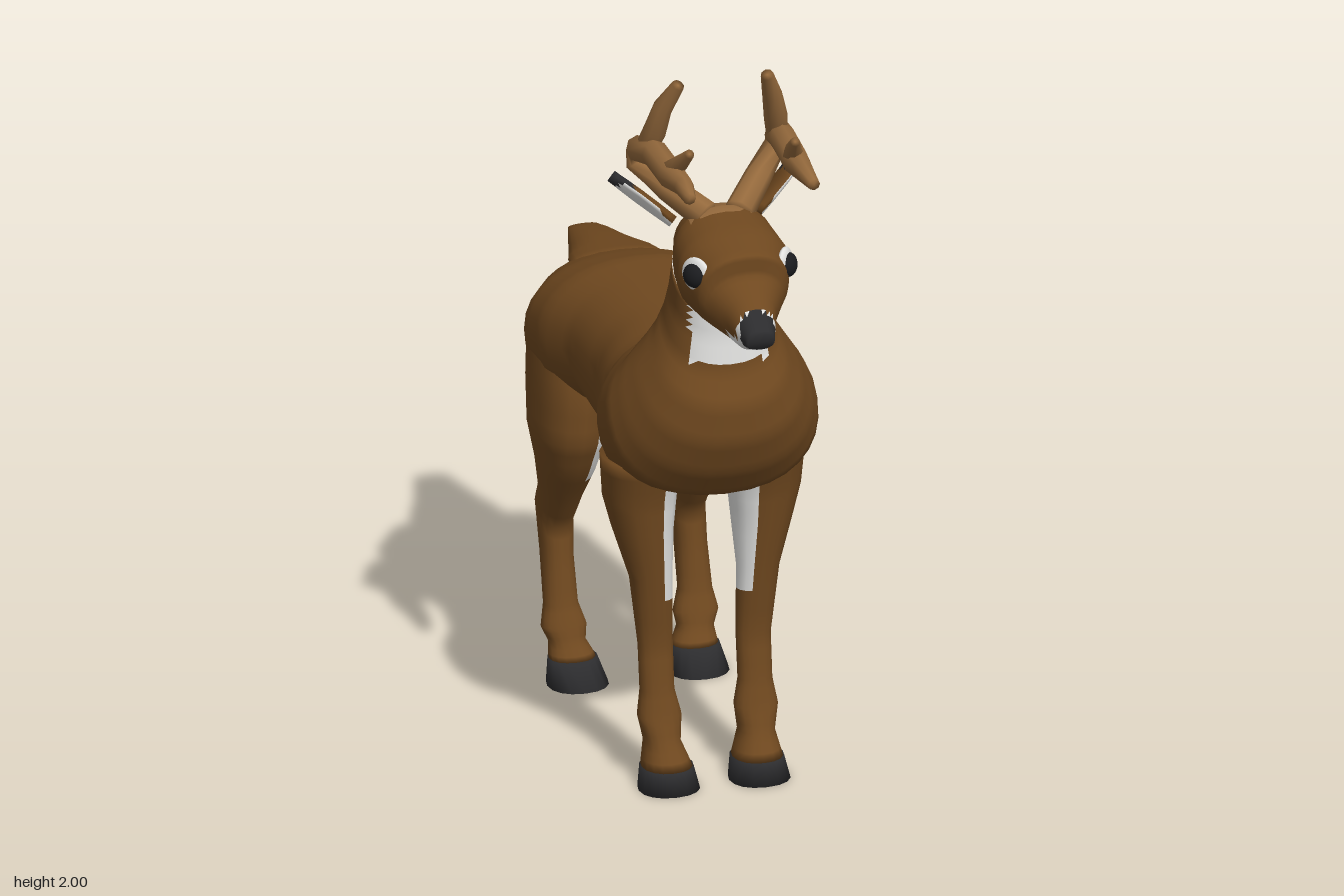
import * as THREE from 'three';

const mat = (name, color) => Object.assign(new THREE.MeshStandardMaterial({ color }), { name });
const MATS = [
  mat('brownCoat', 0x6f481f),
  mat('whiteFur', 0xe2e2e0),
  mat('darkHoof', 0x2c2c2e),
  mat('tanAntler', 0x94693c),
  mat('eyeBlack', 0x1b1c1f),
];
const [BROWN, WHITE, DARK, TAN, BLACK] = [0, 1, 2, 3, 4];
const V = (x, y, z) => new THREE.Vector3(x, y, z);

// Skin over closed rings of points; paint(point, normal) picks the colour of each face.
function loft(name, rings, paint, sub = 1) {
  const fine = [];
  rings.forEach((ring, i) => {
    if (i === rings.length - 1) { fine.push(ring); return; }
    for (let k = 0; k < sub; k++) fine.push(ring.map((p, j) => p.clone().lerp(rings[i + 1][j], k / sub)));
  });
  const n = rings[0].length;
  const pts = fine.flat();
  const faces = [];
  for (let i = 0; i < fine.length - 1; i++) {
    for (let j = 0; j < n; j++) {
      const a = i * n + j, b = i * n + (j + 1) % n;
      faces.push([a, b, b + n], [a, b + n, a + n]);
    }
  }
  const last = (fine.length - 1) * n;
  for (const [start, end] of [[0, false], [last, true]]) {
    const centre = pts.length;
    pts.push(pts.slice(start, start + n).reduce((s, p) => s.add(p), V(0, 0, 0)).divideScalar(n));
    for (let j = 0; j < n; j++) {
      const a = start + j, b = start + (j + 1) % n;
      faces.push(end ? [a, b, centre] : [b, a, centre]);
    }
  }
  // turn faces outward
  const mid = pts[0].clone();
  const volume = faces.reduce((s, [a, b, c]) => s + pts[a].clone().sub(mid)
    .dot(pts[b].clone().sub(mid).cross(pts[c].clone().sub(mid))), 0);
  if (volume < 0) faces.forEach((f) => f.reverse());

  const buckets = MATS.map(() => []);
  for (const f of faces) {
    const [a, b, c] = f.map((i) => pts[i]);
    const normal = b.clone().sub(a).cross(c.clone().sub(a)).normalize();
    const centre = a.clone().add(b).add(c).divideScalar(3);
    buckets[paint(centre, normal)].push(...f);
  }
  const geo = new THREE.BufferGeometry().setFromPoints(pts);
  geo.setIndex(buckets.flat());
  let start = 0;
  buckets.forEach((list, m) => {
    if (list.length) geo.addGroup(start, list.length, m);
    start += list.length;
  });
  geo.computeVertexNormals();
  const mesh = new THREE.Mesh(geo, MATS);
  mesh.name = name;
  return mesh;
}

// Oval ring between two outline points (y, z), with centre x and half width.
function oval([ay, az, by, bz, w, cx = 0], side = 1, sides = 24, power = 0.9) {
  const soft = (v) => Math.sign(v) * Math.abs(v) ** power;
  return Array.from({ length: sides }, (_, j) => {
    const t = (j / sides) * Math.PI * 2;
    const c = soft(Math.cos(t)), s = soft(Math.sin(t));
    return V(side * (cx + w * c), (ay + by) / 2 + s * (ay - by) / 2, (az + bz) / 2 + s * (az - bz) / 2);
  });
}
const ovals = (list, side, sides, power) => list.map((r) => oval(r, side, sides, power));

// Tapered branch through points [x, y, z, radius].
function branch(name, list, side) {
  const p = list.map(([x, y, z]) => V(x, y, z));
  const rings = list.map(([, , , r], i) => {
    const t = p[Math.min(i + 1, p.length - 1)].clone().sub(p[Math.max(i - 1, 0)]).normalize();
    const u = V(1, 0, 0).cross(t).normalize(), v = t.clone().cross(u);
    return Array.from({ length: 8 }, (_, j) => {
      const a = (j / 8) * Math.PI * 2;
      const q = p[i].clone().addScaledVector(u, r * Math.cos(a)).addScaledVector(v, r * Math.sin(a));
      q.x *= side;
      return q;
    });
  });
  return loft(name, rings, () => TAN);
}

// Outlines: [y, z of one edge, y, z of the other edge, half width, centre x]
const BODY = [
  [1.09, -0.535, 0.9, -0.55, 0.13], [1.11, -0.5, 0.82, -0.525, 0.215],
  [1.14, -0.415, 0.77, -0.42, 0.272], [1.17, -0.31, 0.77, -0.3, 0.265],
  [1.17, -0.18, 0.8, -0.18, 0.222], [1.17, 0, 0.765, 0, 0.208],
  [1.17, 0.15, 0.765, 0.14, 0.232], [1.19, 0.22, 0.785, 0.32, 0.278],
  [1.22, 0.26, 0.845, 0.485, 0.277], [1.25, 0.27, 0.93, 0.55, 0.25],
  [1.28, 0.28, 1.03, 0.59, 0.215], [1.32, 0.29, 1.13, 0.59, 0.175],
  [1.37, 0.3, 1.21, 0.55, 0.145], [1.44, 0.315, 1.3, 0.54, 0.128],
  [1.53, 0.35, 1.38, 0.54, 0.125],
];
const HEAD = [
  [1.55, 0.345, 1.42, 0.37, 0.08], [1.615, 0.39, 1.4, 0.42, 0.115],
  [1.637, 0.46, 1.375, 0.5, 0.138], [1.62, 0.575, 1.375, 0.55, 0.148],
  [1.59, 0.68, 1.365, 0.61, 0.122], [1.535, 0.68, 1.365, 0.65, 0.1],
  [1.495, 0.735, 1.36, 0.7, 0.068], [1.457, 0.79, 1.36, 0.75, 0.05],
  [1.43, 0.82, 1.385, 0.81, 0.036],
];
const TAIL = [
  [1.12, -0.46, 1.05, -0.48, 0.13], [1.105, -0.56, 1.035, -0.55, 0.115],
  [1.09, -0.66, 0.987, -0.645, 0.085], [1.07, -0.75, 1.01, -0.74, 0.06],
  [1.05, -0.81, 1.03, -0.82, 0.04],
];
const FRONT_LEG = [
  [0.9, 0.4, 0.88, 0.15, 0.1, 0.165], [0.78, 0.37, 0.76, 0.165, 0.093, 0.165],
  [0.69, 0.36, 0.68, 0.18, 0.078, 0.158], [0.56, 0.345, 0.545, 0.24, 0.055, 0.142],
  [0.37, 0.325, 0.36, 0.26, 0.046, 0.13], [0.25, 0.345, 0.24, 0.272, 0.045, 0.13],
  [0.18, 0.365, 0.18, 0.28, 0.058, 0.128], [0.12, 0.39, 0.11, 0.28, 0.047, 0.125],
  [0.055, 0.435, 0.05, 0.29, 0.066, 0.12],
];
const FRONT_HOOF = [[0.058, 0.438, 0.052, 0.287, 0.068, 0.12], [0, 0.455, 0, 0.31, 0.08, 0.12]];
const HIND_LEG = [
  [0.95, -0.24, 0.97, -0.55, 0.11, 0.15], [0.82, -0.21, 0.82, -0.54, 0.105, 0.163],
  [0.7, -0.21, 0.7, -0.51, 0.097, 0.173], [0.6, -0.26, 0.6, -0.48, 0.075, 0.175],
  [0.5, -0.335, 0.51, -0.495, 0.055, 0.175], [0.39, -0.41, 0.455, -0.545, 0.046, 0.175],
  [0.3, -0.395, 0.32, -0.5, 0.042, 0.177], [0.19, -0.37, 0.185, -0.445, 0.045, 0.178],
  [0.14, -0.35, 0.125, -0.43, 0.06, 0.175], [0.1, -0.335, 0.09, -0.42, 0.048, 0.17],
  [0.055, -0.305, 0.055, -0.405, 0.062, 0.162],
];
const HIND_HOOF = [[0.058, -0.3, 0.058, -0.407, 0.064, 0.162], [0, -0.24, 0, -0.39, 0.08, 0.16]];

function paintBody(p, n) {
  const x = Math.abs(p.x);
  if (p.z < -0.48 && x < 0.13 && p.y < 1.09) return WHITE; // rump
  if (p.z > 0.4 && p.y > 1.235 && x < 0.1 && n.z > 0.2) return WHITE; // throat
  if (p.z > -0.22 && p.z < 0.24 && p.y < 0.845 - 1.6 * p.z * p.z) return WHITE; // belly
  return p.z < 0.36 && n.y < -0.6 && x < 0.09 ? WHITE : BROWN;
}

function paintHead(p, n) {
  if (p.z > 0.785 - (p.y - 1.41) * 0.3 && p.y > 1.385) return DARK; // nose
  if (p.z > 0.715 && (p.y < 1.405 || p.z > 0.765)) return WHITE; // muzzle
  if (n.y < -0.6 && p.y < 1.39) return WHITE; // jaw
  return p.y > 1.595 && p.z < 0.48 && Math.abs(p.x) < 0.085 ? TAN : BROWN;
}

function ear(side) {
  const base = V(0.11, 1.575, 0.385), axis = V(0.14, 0.11, -0.08), dir = axis.clone().normalize();
  const face = V(0.6, -0.6, 0.225).normalize(), wide = dir.clone().cross(face).normalize();
  const rings = [[0, 0.03], [0.25, 0.055], [0.55, 0.066], [0.82, 0.05], [1, 0.016]].map(([t, w]) =>
    Array.from({ length: 12 }, (_, j) => {
      const a = (j / 12) * Math.PI * 2;
      const q = base.clone().addScaledVector(axis, t).addScaledVector(wide, w * Math.cos(a))
        .addScaledVector(face, 0.016 * Math.sin(a));
      q.x *= side;
      return q;
    }));
  return loft('ear', rings, (p, n) => {
    const q = V(p.x * side, p.y, p.z).sub(base);
    const t = q.dot(dir) / axis.length();
    if (t > 0.86) return DARK;
    if (V(n.x * side, n.y, n.z).dot(face) > 0.6) return WHITE;
    return t > 0.68 ? DARK : BROWN;
  }, 3);
}

function eye(side) {
  const group = new THREE.Group();
  group.name = 'eye';
  const part = (name, r, depth, z, m) => {
    const mesh = new THREE.Mesh(new THREE.SphereGeometry(r, 20, 12), MATS[m]);
    mesh.name = name;
    mesh.scale.z = depth;
    mesh.position.z = z;
    group.add(mesh);
  };
  part('eyeRim', 0.046, 0.35, 0, WHITE);
  part('eyeball', 0.032, 0.7, 0.01, BLACK);
  group.position.set(side * 0.117, 1.53, 0.626);
  group.lookAt(side * (0.117 + 0.82), 1.58, 0.626 + 0.55);
  return group;
}

function antler(side) {
  const group = new THREE.Group();
  group.name = 'antler';
  group.add(
    branch('mainBeam', [[0.045, 1.615, 0.46, 0.04], [0.12, 1.665, 0.37, 0.036], [0.185, 1.72, 0.305, 0.03],
      [0.185, 1.765, 0.335, 0.036], [0.17, 1.79, 0.43, 0.036], [0.165, 1.785, 0.56, 0.036],
      [0.16, 1.795, 0.66, 0.026], [0.165, 1.79, 0.73, 0.016]], side),
    branch('upperTine', [[0.178, 1.76, 0.35, 0.028], [0.16, 1.84, 0.395, 0.031],
      [0.145, 1.91, 0.415, 0.026], [0.118, 1.988, 0.462, 0.017]], side),
    branch('middleTine', [[0.165, 1.785, 0.54, 0.03], [0.15, 1.83, 0.59, 0.022], [0.14, 1.875, 0.642, 0.013]], side),
  );
  return group;
}

export function createModel() {
  const deer = new THREE.Group();
  deer.name = 'deer';
  deer.add(
    loft('bodyAndNeck', ovals(BODY, 1, 32, 0.88), paintBody, 4),
    loft('head', ovals(HEAD, 1, 28, 0.88), paintHead, 4),
    loft('tail', ovals(TAIL), (p, n) => (n.y < -0.25 && p.z > -0.76 ? WHITE : BROWN), 2),
  );
  for (const side of [1, -1]) {
    const inner = (p, n, low) => n.x * side < -0.45 && p.y > low;
    deer.add(
      loft('frontLeg', ovals(FRONT_LEG, side, 16), (p, n) => (inner(p, n, 0.5) ? WHITE : BROWN), 3),
      loft('hindLeg', ovals(HIND_LEG, side, 16), (p, n) =>
        (inner(p, n, 0.57) || (n.z < -0.3 && p.x * side < 0.15 && p.y > 0.6) ? WHITE : BROWN), 3),
      loft('frontHoof', ovals(FRONT_HOOF, side, 16), () => DARK),
      loft('hindHoof', ovals(HIND_HOOF, side, 16), () => DARK),
      ear(side), eye(side), antler(side),
    );
  }
  return deer;
}
